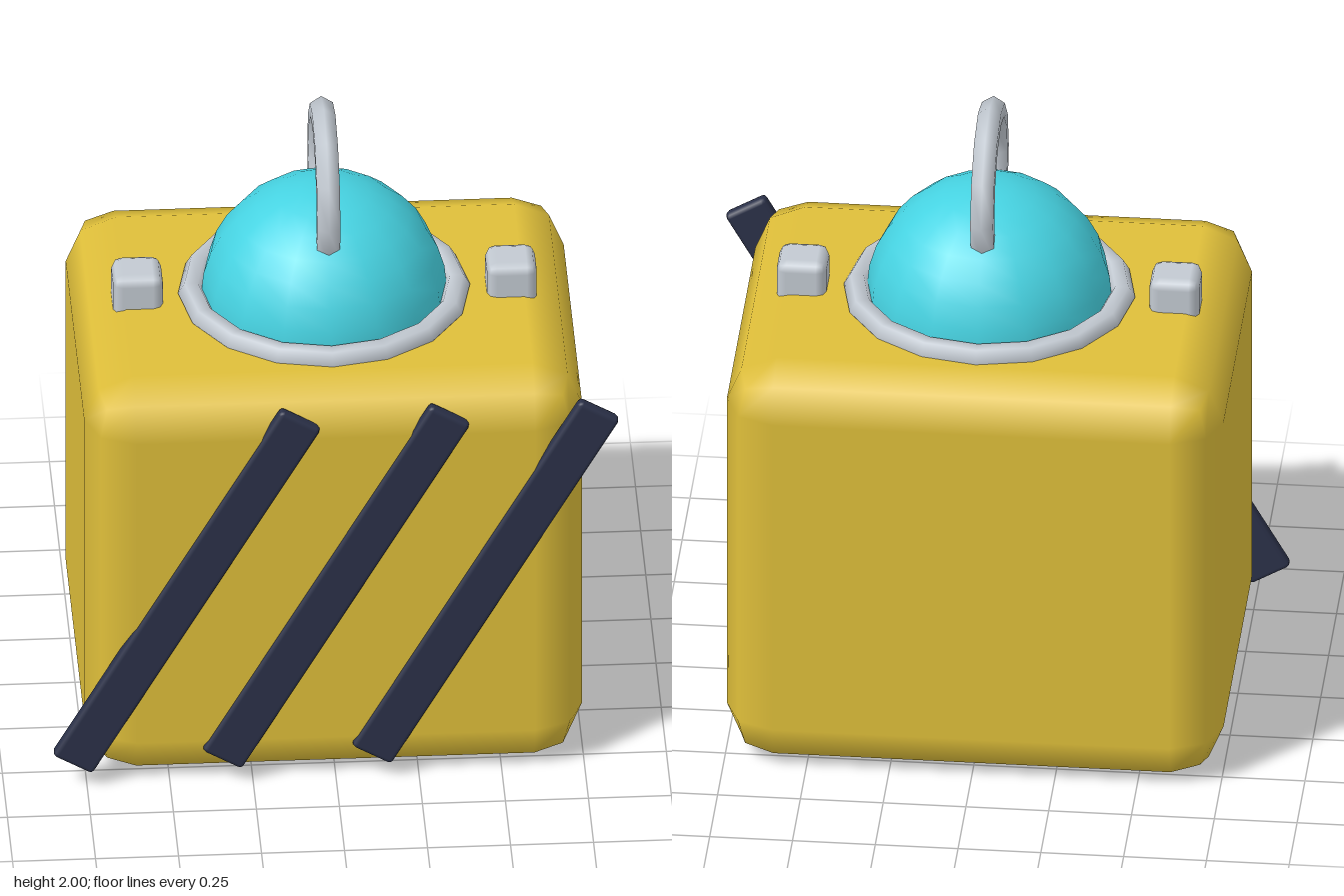
import * as THREE from 'three';
import { RoundedBoxGeometry } from 'three/addons/geometries/RoundedBoxGeometry.js';

const material = (name, color) => {
  const m = new THREE.MeshStandardMaterial({ color });
  m.name = name;
  return m;
};

export function createModel() {
  const yellow = material('yellow', 0xdfbf3a);
  const cyan = material('cyan', 0x46d3e2);
  const silver = material('silver', 0xc3cad2);
  const navy = material('navy', 0x2b3149);

  const model = new THREE.Group();
  model.name = 'domedBox';
  const add = (name, geometry, mat, x, y, z) => {
    const mesh = new THREE.Mesh(geometry, mat);
    mesh.name = name;
    mesh.position.set(x, y, z);
    model.add(mesh);
    return mesh;
  };
  const cz = -0.005; // the stripes stand slightly proud of the front

  // Rounded body
  add('body', new RoundedBoxGeometry(1.5, 1.36, 1.2, 1, 0.15), yellow, 0, 0.68, cz);

  // Slanted stripes across the front
  const stripe = new RoundedBoxGeometry(0.14, 1.38, 0.045, 1, 0.015);
  for (const x of [-0.45, 0, 0.45]) {
    add('stripe', stripe, navy, x, 0.68, 0.583).rotation.z = -Math.PI / 6;
  }

  // Dome and the ring around its base
  add('dome', new THREE.SphereGeometry(0.37, 16, 8, 0, Math.PI * 2, 0, Math.PI / 2), cyan, 0, 1.36, cz);
  add('domeRing', new THREE.TorusGeometry(0.4, 0.04, 6, 16), silver, 0, 1.365, cz).rotation.x = Math.PI / 2;

  // Carrying ring, its lower part sunk into the dome
  add('handle', new THREE.TorusGeometry(0.23, 0.04, 6, 12), silver, 0, 1.73, cz).rotation.y = Math.PI / 2;

  // Bolts on either side of the dome
  const bolt = new RoundedBoxGeometry(0.15, 0.15, 0.15, 1, 0.03);
  for (const side of [-1, 1]) {
    add(side > 0 ? 'leftBolt' : 'rightBolt', bolt, silver, side * 0.563, 1.39, cz);
  }
  return model;
}
